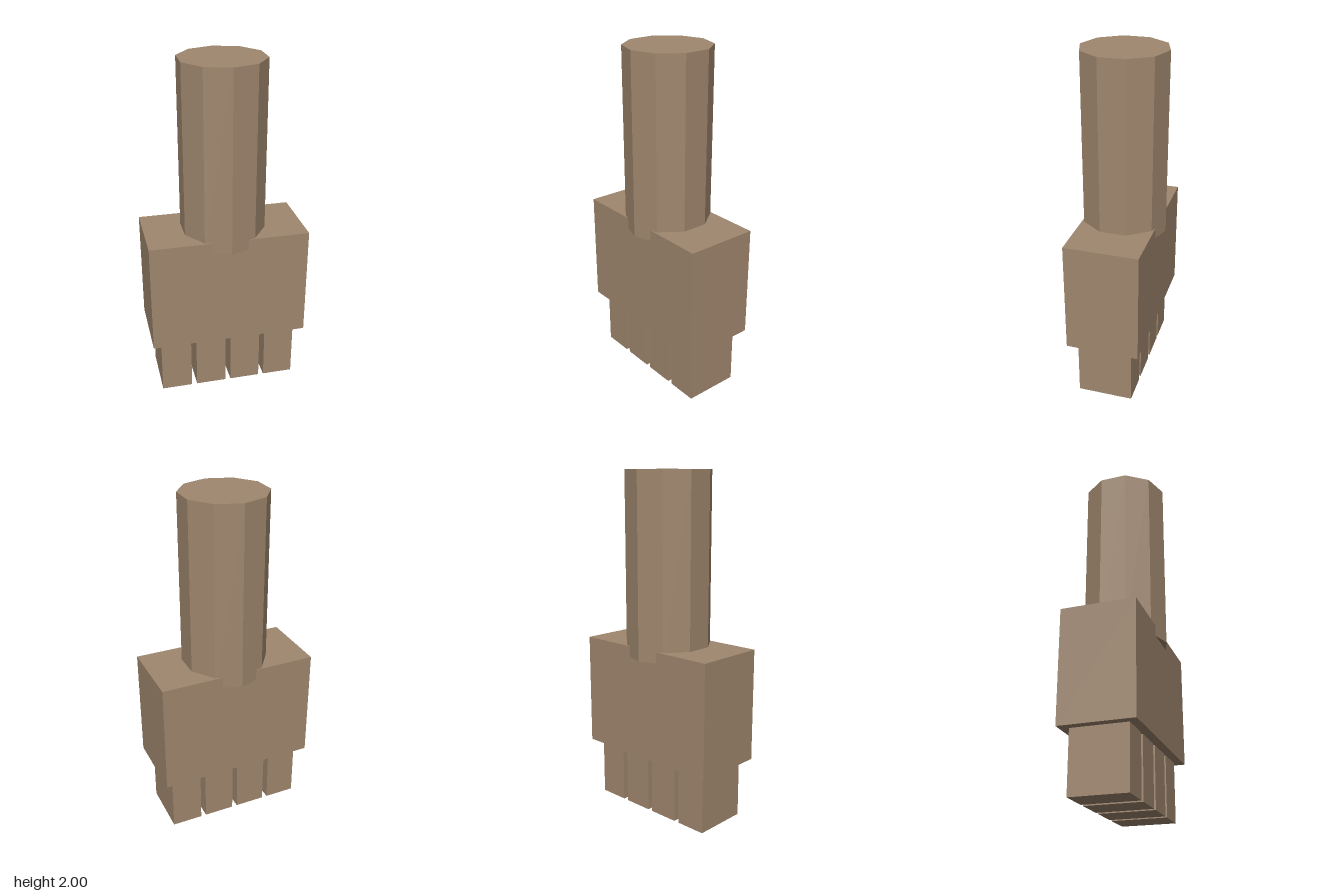
import * as THREE from 'three';

const material = new THREE.MeshStandardMaterial({ color: 0xa0876e, flatShading: true });

function addPart(group, name, geometry, x, y, z) {
  const mesh = new THREE.Mesh(geometry, material);
  mesh.name = name;
  mesh.position.set(x, y, z);
  group.add(mesh);
  return mesh;
}

export function createModel() {
  const model = new THREE.Group();
  model.name = 'armWithHand';

  // Ten-sided forearm, sunk slightly into the palm
  const armBottom = 0.945, armTop = 2;
  const armHeight = armTop - armBottom;
  addPart(model, 'forearm', new THREE.CylinderGeometry(0.248, 0.248, armHeight, 10),
    0, armBottom + armHeight / 2, 0);

  // Block palm
  addPart(model, 'palm', new THREE.BoxGeometry(0.926, 0.66, 0.428), 0, 0.68, 0);

  // Four block fingers pointing down
  const fingers = new THREE.Group();
  fingers.name = 'fingers';
  const fingerGeometry = new THREE.BoxGeometry(0.182, 0.35, 0.324);
  for (let i = 0; i < 4; i++) {
    addPart(fingers, `finger${i + 1}`, fingerGeometry, (i - 1.5) * 0.214, 0.175, 0);
  }
  model.add(fingers);

  return model;
}
